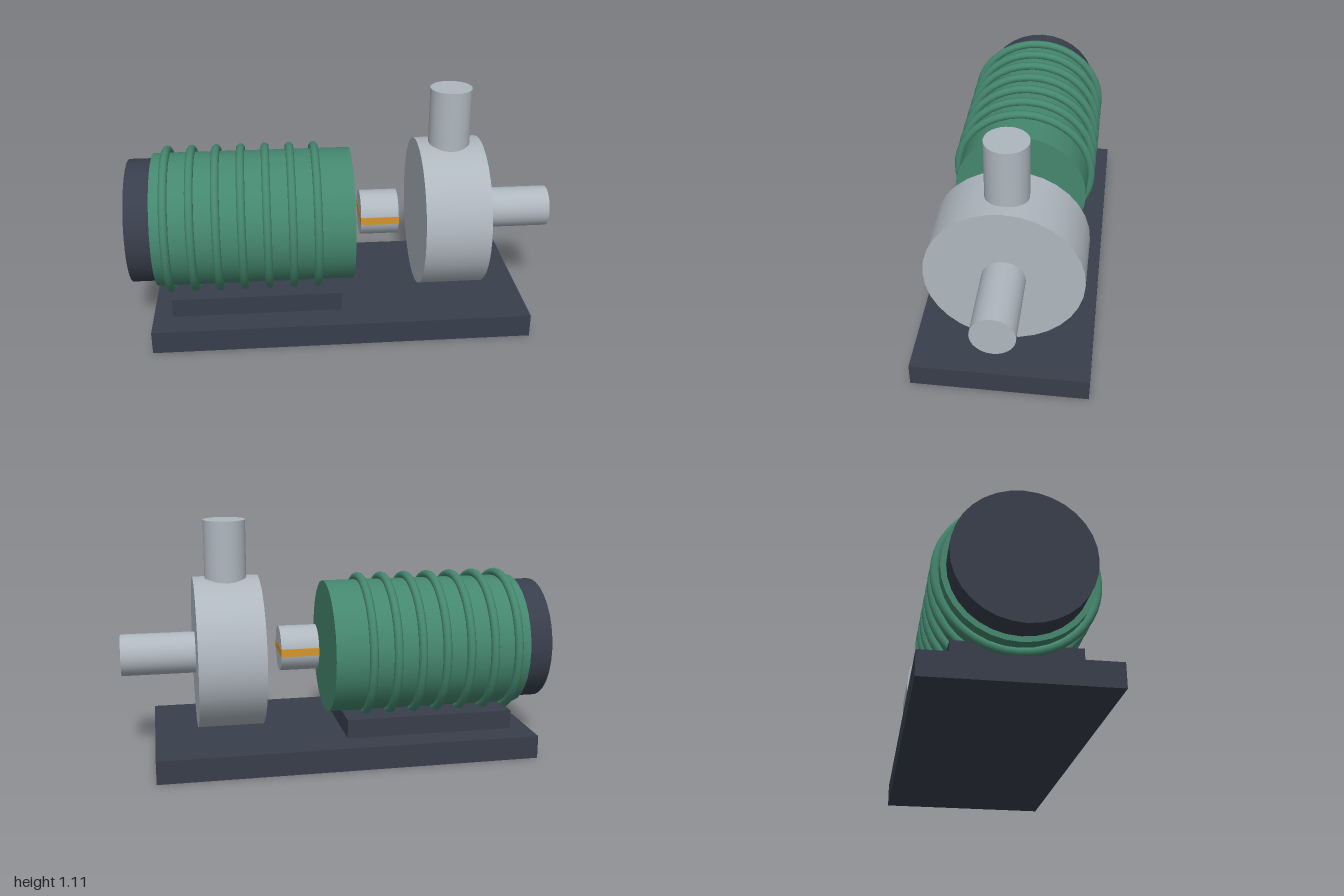
import * as THREE from 'three';

const AXIS = 0.49; // height of the shaft line

function material(name, color) {
  const m = new THREE.MeshStandardMaterial({ color });
  m.name = name;
  return m;
}

export function createModel() {
  const dark = material('dark slate', 0x383e4b);
  const green = material('motor green', 0x45876f);
  const steel = material('pale steel', 0xafb7bf);
  const amber = material('amber', 0xd6952a);

  const model = new THREE.Group();
  model.name = 'motorPump';

  const add = (name, geometry, mat) => {
    const mesh = new THREE.Mesh(geometry, mat);
    mesh.name = name;
    model.add(mesh);
    return mesh;
  };

  // Box given by its x and y ranges and half depth
  const box = (name, x0, x1, y0, y1, halfZ, mat) =>
    add(name, new THREE.BoxGeometry(x1 - x0, y1 - y0, halfZ * 2), mat)
      .position.set((x0 + x1) / 2, (y0 + y1) / 2, 0);

  // Cylinder lying along the shaft line
  const drum = (name, x0, x1, radius, mat) => {
    const geometry = new THREE.CylinderGeometry(radius, radius, x1 - x0, 32);
    geometry.rotateZ(-Math.PI / 2);
    add(name, geometry, mat).position.set((x0 + x1) / 2, AXIS, 0);
  };

  // Base plate and motor foot
  box('basePlate', -0.905, 0.86, 0, 0.108, 0.4, dark);
  box('motorFoot', -0.815, -0.02, 0.108, 0.197, 0.266, dark);

  // Motor body with end cap and cooling rings
  drum('motorBody', -0.885, 0.042, 0.316, green);
  drum('motorEndCap', -1, -0.885, 0.292, dark);
  const ring = new THREE.TorusGeometry(0.33, 0.02, 10, 48);
  ring.rotateY(Math.PI / 2);
  for (let i = 0; i < 7; i++) {
    add('coolingRing', ring, green).position.set(-0.82 + i * 0.1152, AXIS, 0);
  }

  // Coupling with a key running through it
  drum('coupling', 0.085, 0.264, 0.107, steel);
  box('couplingKey', 0.084, 0.265, 0.472, 0.508, 0.109, amber);

  // Pump casing with inlet and outlet pipes
  drum('pumpCasing', 0.357, 0.66, 0.354, steel);
  drum('inletPipe', 0.65, 1, 0.097, steel);
  add('outletPipe', new THREE.CylinderGeometry(0.097, 0.097, 0.33, 32), steel)
    .position.set(0.508, 0.945, 0);

  return model;
}
